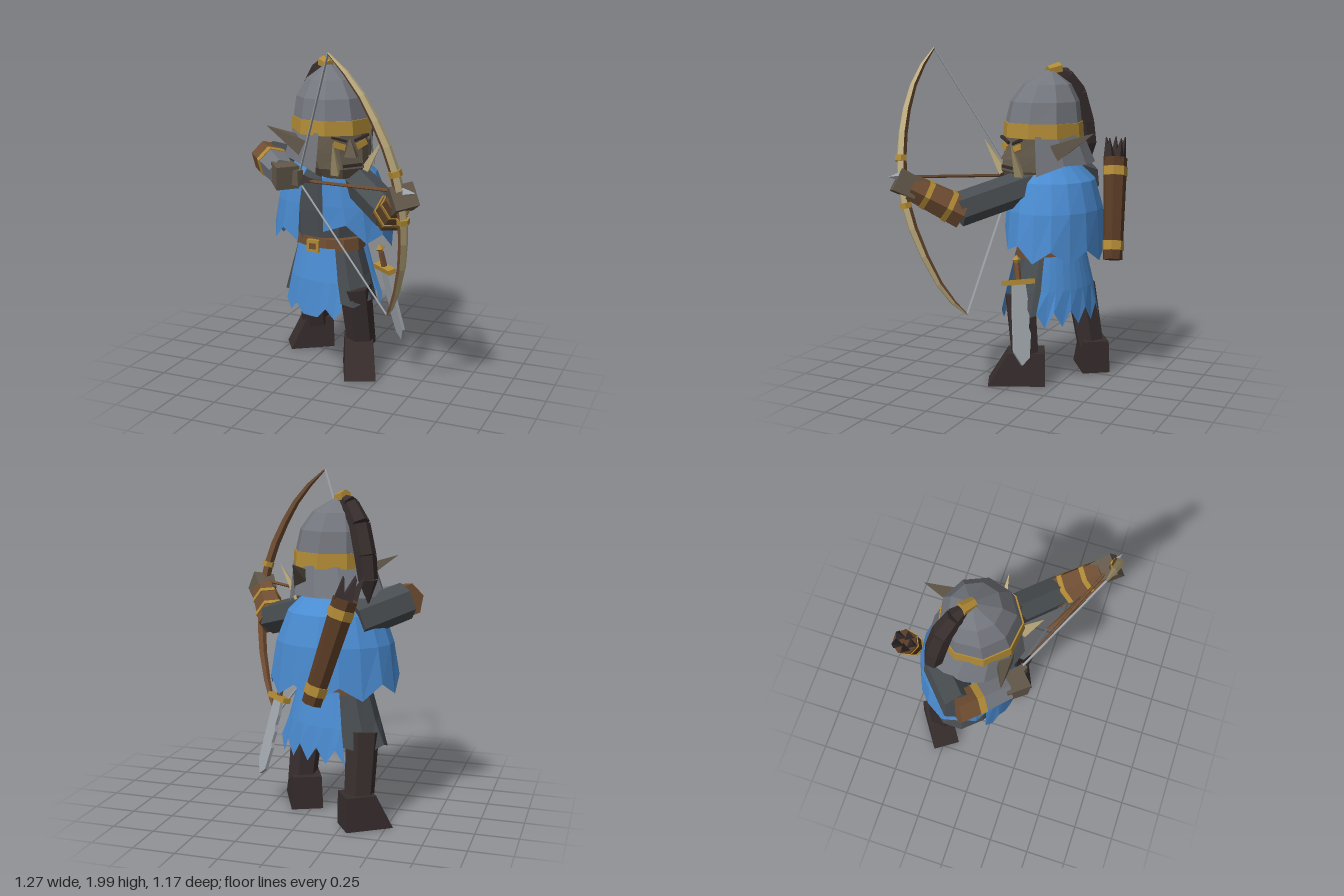
import * as THREE from 'three';

const mat = (name, color, side = THREE.FrontSide) => {
  const m = new THREE.MeshStandardMaterial({ color, side });
  m.name = name;
  return m;
};
const V = (x, y, z) => new THREE.Vector3(x, y, z);

export function createModel() {
  const skin = mat('olive skin', 0x62584a), cloth = mat('blue cloth', 0x4a8bd0, THREE.DoubleSide);
  const tunic = mat('dark grey tunic', 0x484d51, THREE.DoubleSide);
  const iron = mat('helmet iron', 0x74777e, THREE.DoubleSide);
  const gold = mat('gold', 0xb08a36), dark = mat('dark leather', 0x372d2d);
  const leather = mat('brown leather', 0x704e33), bone = mat('pale horn', 0xbcab7e);
  const steel = mat('bright steel', 0xa0a7ac), brown = mat('dark brown leather', 0x573a24);

  const model = new THREE.Group();
  model.name = 'archer';

  // Faceted mesh
  const add = (name, geo, material, parent = model) => {
    const g = geo.index ? geo.toNonIndexed() : geo;
    g.computeVertexNormals();
    const m = new THREE.Mesh(g, material);
    m.name = name;
    parent.add(m);
    return m;
  };
  // Skin over rows of points, bottom row first
  const skinRows = (rows, closed = false) => {
    const pos = [], n = rows[0].length;
    const tri = (...p) => p.forEach(v => pos.push(v.x, v.y, v.z));
    for (let i = 0; i < rows.length - 1; i++)
      for (let j = 0; j < (closed ? n : n - 1); j++) {
        const k = (j + 1) % n, a = rows[i], b = rows[i + 1];
        tri(a[j], a[k], b[k]);
        tri(a[j], b[k], b[j]);
      }
    if (closed) {
      const lo = rows[0], hi = rows[rows.length - 1];
      for (let j = 1; j < n - 1; j++) {
        tri(lo[0], lo[j + 1], lo[j]);
        tri(hi[0], hi[j], hi[j + 1]);
      }
    }
    const g = new THREE.BufferGeometry();
    g.setAttribute('position', new THREE.Float32BufferAttribute(pos, 3));
    return g;
  };
  const onRing = ([y, cx, cz, rx, rz], a) => V(cx + rx * Math.sin(a), y, cz + rz * Math.cos(a));
  // Solid stack of oval rings [y, cx, cz, rx, rz]
  const loft = (rings, n, turn = 0) => skinRows(
    rings.map(r => Array.from({ length: n }, (_, j) => onRing(r, turn + j / n * Math.PI * 2))), true);
  // Curved cloth panel between two angles, with a ragged hem
  const drape = (rings, a0, a1, cols, hem) => skinRows(rings.map((r, i) =>
    Array.from({ length: cols + 1 }, (_, j) => {
      const p = onRing(r, a0 + (a1 - a0) * j / cols);
      if (i === 0) p.y += hem(j);
      return p;
    })));
  // Tapered rod between two points
  const rod = (name, p, q, r0, r1, n, material, parent = model) => {
    const d = q.clone().sub(p);
    const m = add(name, new THREE.CylinderGeometry(r1, r0, d.length(), n), material, parent);
    m.position.copy(p).lerp(q, 0.5);
    m.quaternion.setFromUnitVectors(V(0, 1, 0), d.normalize());
    return m;
  };
  const part = (name, p, q, t0, t1, r0, r1, n, material) =>
    rod(name, p.clone().lerp(q, t0), p.clone().lerp(q, t1), r0, r1, n, material);

  // Boots
  const legs = [
    ['left', V(0.06, 0.54, -0.01), V(0.085, 0.16, -0.055), 0.09, 0.0, 0.42, 0.19, 0.34],
    ['right', V(-0.34, 0.54, -0.24), V(-0.34, 0.16, -0.31), -0.375, -0.305, -0.98, 0.17, 0.28]];
  for (const [side, hip, ankle, x, z, turn, width, len] of legs) {
    rod(side + 'Leg', ankle, hip, 0.088, 0.098, 6, dark);
    const g = new THREE.BoxGeometry(width, 0.2, len), p = g.attributes.position;
    for (let i = 0; i < p.count; i++) {
      if (p.getY(i) < 0) continue;
      p.setX(i, p.getX(i) * 0.9);
      if (p.getZ(i) > 0) p.setZ(i, len * 0.14);
    }
    const foot = add(side + 'Foot', g, dark);
    foot.position.set(x, 0.1, z);
    foot.rotation.y = turn;
  }

  // Torso
  add('torso', loft([[0.74, -0.16, -0.12, 0.2, 0.16], [1.0, -0.16, -0.12, 0.22, 0.18],
    [1.2, -0.15, -0.11, 0.25, 0.17], [1.32, -0.14, -0.1, 0.13, 0.12]], 10), tunic);

  // Hips, turned a little to the right: skirt, belt and hanging cloths
  const hips = new THREE.Group();
  hips.name = 'hips';
  hips.position.set(-0.15, 0, -0.12);
  hips.rotation.y = -0.35;
  model.add(hips);
  const skirt = [[0.44, 0, 0, 0.335, 0.215], [0.6, 0, 0, 0.275, 0.2], [0.8, 0, 0, 0.21, 0.165]];
  add('skirt', drape(skirt, 0, Math.PI * 2, 12, j => (j % 2 ? 0.03 : -0.01)), tunic, hips);
  add('belt', loft([[0.76, 0, 0, 0.235, 0.19], [0.835, 0, 0, 0.23, 0.185]], 12), leather, hips);
  const buckle = new THREE.Group();
  buckle.name = 'buckle';
  buckle.position.set(0.04, 0.79, 0.19);
  buckle.rotation.y = 0.3;
  hips.add(buckle);
  add('buckleFrame', new THREE.BoxGeometry(0.08, 0.075, 0.03), gold, buckle);
  add('bucklePlate', new THREE.BoxGeometry(0.04, 0.035, 0.008), leather, buckle).position.z = 0.016;
  const grow = (d, drop) => skirt.map(([y, cx, cz, rx, rz], i) => [y - (i ? 0.02 : drop), cx, cz, rx + d, rz + d]);
  add('frontCloth', drape(grow(0.025, 0.05), -0.5, 0.78, 8, j => (j % 2 ? -0.03 : 0.03) + (j === 4 ? -0.06 : 0)), cloth, hips);
  add('backCloth', drape(grow(0.035, 0.04), Math.PI - 0.9, Math.PI + 0.6, 9, j => (j % 2 ? -0.03 : 0.06)), cloth, hips);

  // Shoulder cape, open at the chest
  add('cape', drape([[0.85, -0.145, -0.155, 0.38, 0.29], [1.05, -0.145, -0.15, 0.345, 0.28],
    [1.22, -0.145, -0.135, 0.28, 0.25], [1.36, -0.14, -0.1, 0.14, 0.14]], 0.15, Math.PI * 2 - 0.3, 16,
  j => (j % 2 ? 0.05 : -0.03) - 0.07 * Math.sin(j / 16 * Math.PI) + Math.max(0, 0.08 - j * 0.025)), cloth);

  // Left arm, holding the bow
  const shoulderL = V(0.03, 1.2, -0.06), elbowL = V(0.37, 1.08, 0.24), handL = V(0.53, 1.235, 0.485);
  rod('leftUpperArm', shoulderL, elbowL, 0.1, 0.1, 6, tunic);
  part('leftBracer', elbowL, handL, -0.1, 0.9, 0.1, 0.08, 6, leather);
  part('leftElbowBand', elbowL, handL, 0.12, 0.21, 0.102, 0.1, 6, gold);
  part('leftWristBand', elbowL, handL, 0.55, 0.64, 0.092, 0.09, 6, gold);
  part('leftHand', elbowL, handL, 0.78, 1.18, 0.085, 0.095, 4, skin);

  // Right arm, drawing the string
  const shoulderR = V(-0.3, 1.19, -0.27), elbowR = V(-0.54, 1.28, -0.06), handR = V(-0.31, 1.235, 0.18);
  rod('rightUpperArm', shoulderR, elbowR, 0.11, 0.108, 6, tunic);
  part('rightBracer', elbowR, handR, -0.1, 0.26, 0.1, 0.098, 6, leather);
  part('rightElbowBand', elbowR, handR, 0.24, 0.36, 0.101, 0.1, 6, gold);
  part('rightForearm', elbowR, handR, 0.35, 0.85, 0.094, 0.082, 6, iron);
  part('rightHand', elbowR, handR, 0.76, 1.18, 0.085, 0.098, 4, skin);
  for (let i = 0; i < 3; i++) {
    const f = add('rightFinger', new THREE.BoxGeometry(0.08, 0.03, 0.04), skin);
    f.position.set(-0.235, 1.2 + i * 0.03, 0.19);
    f.rotation.y = -0.4;
  }

  // Bow: horn on the flat outer face, leather on the rest
  const bow = new THREE.CatmullRomCurve3([V(0.345, 0.46, 0.2), V(0.42, 0.58, 0.29), V(0.5, 0.82, 0.39), V(0.535, 1.06, 0.47),
    V(0.53, 1.25, 0.51), V(0.485, 1.45, 0.535), V(0.4, 1.65, 0.55), V(0.28, 1.84, 0.545), V(0.12, 1.99, 0.52)]);
  const aim = V(0.91, 0.06, 0.4).normalize();
  const outer = [], inner = [], steps = 12;
  for (let i = 0; i <= steps; i++) {
    const c = bow.getPoint(i / steps), t = bow.getTangent(i / steps);
    const v = t.clone().cross(aim).normalize(), o = v.clone().cross(t).normalize();
    const s = 0.006 + 0.026 * Math.sin(i / steps * Math.PI) ** 0.6;
    const at = (a, b) => c.clone().addScaledVector(o, a * s).addScaledVector(v, b * s);
    outer.push([at(0.2, -1), at(0.7, 0), at(0.2, 1)]);
    inner.push([at(0.2, 1), at(-0.8, 0.6), at(-0.8, -0.6), at(0.2, -1)]);
  }
  add('bowOuter', skinRows(outer), bone);
  add('bowInner', skinRows(inner), leather);
  for (const t of [0.41, 0.58])
    rod('bowBand', bow.getPoint(t - 0.01), bow.getPoint(t + 0.01), 0.037, 0.037, 6, gold);
  const nock = V(-0.23, 1.21, 0.17), tip = V(0.625, 1.285, 0.54);
  for (const t of [0, 1]) rod('bowString', nock, bow.getPoint(t), 0.007, 0.007, 4, steel);

  // Nocked arrow
  part('arrowShaft', nock, tip, 0, 0.93, 0.01, 0.01, 5, leather);
  part('arrowHead', nock, tip, 0.91, 1, 0.028, 0, 4, steel);
  part('arrowFletching', nock, tip, 0.04, 0.13, 0.035, 0.015, 3, dark);

  // Quiver with spare arrows
  const qLow = V(-0.125, 0.76, -0.525), qTop = V(-0.3, 1.34, -0.47);
  rod('quiver', qLow, qTop, 0.058, 0.073, 7, brown);
  part('quiverLowerBand', qLow, qTop, 0.09, 0.18, 0.065, 0.067, 7, gold);
  part('quiverUpperBand', qLow, qTop, 0.82, 0.91, 0.075, 0.077, 7, gold);
  for (let i = 0; i < 5; i++) {
    const a = i * 1.257, d = V(Math.sin(a) * 0.04, 0, Math.cos(a) * 0.04);
    const p = qTop.clone().add(d), e = p.clone().add(V(-0.035, 0.12, 0.01)).add(d.multiplyScalar(0.5));
    rod('spareArrowFeather', p, e, 0.035, 0.004, 3, dark);
  }

  // Sword hanging at the left hip
  const sword = new THREE.Group();
  sword.name = 'sword';
  model.add(sword);
  const blade = new THREE.Shape([[-0.04, 0], [0.04, 0], [0.055, -0.2], [0.065, -0.4], [0.02, -0.48], [-0.03, -0.44],
    [-0.05, -0.3], [-0.04, -0.27], [-0.05, -0.2], [-0.038, -0.16], [-0.047, -0.1]].map(p => new THREE.Vector2(...p)));
  add('blade', new THREE.ExtrudeGeometry(blade, { depth: 0.02, bevelEnabled: false }), steel, sword).position.z = -0.01;
  add('guard', new THREE.BoxGeometry(0.19, 0.03, 0.05), gold, sword);
  rod('grip', V(0, 0, 0), V(0, 0.11, 0), 0.02, 0.018, 6, leather, sword);
  add('pommel', new THREE.OctahedronGeometry(0.03), gold, sword).position.y = 0.13;
  sword.position.set(0.225, 0.655, -0.075);
  sword.rotation.set(0.24, -0.72, 0.02, 'YXZ');

  // Head, turned along the aim
  const head = new THREE.Group();
  head.name = 'head';
  head.position.set(-0.12, 0, -0.08);
  head.rotation.y = 0.92;
  model.add(head);
  add('skull', loft([[1.22, 0, 0.07, 0.14, 0.16], [1.28, 0, 0.07, 0.18, 0.19],
    [1.37, 0, 0.04, 0.2, 0.2], [1.49, 0, 0.0, 0.2, 0.22]], 8, Math.PI / 8), skin, head);
  rod('neck', V(0, 1.12, 0), V(0, 1.25, 0), 0.1, 0.1, 6, skin, head);
  add('nose', loft([[1.35, 0, 0.23, 0.05, 0.055], [1.375, 0, 0.22, 0.04, 0.05], [1.45, 0, 0.19, 0.018, 0.025]], 4), skin, head);
  add('mouth', new THREE.BoxGeometry(0.13, 0.018, 0.009), dark, head).position.set(0, 1.3, 0.243);
  for (const s of [-1, 1]) {
    const eye = add('eye', new THREE.BoxGeometry(0.075, 0.036, 0.009), gold, head);
    eye.position.set(s * 0.075, 1.417, 0.219);
    eye.rotation.set(-0.15, s * 0.1, s * 0.35);
    const brow = add('brow', new THREE.BoxGeometry(0.1, 0.014, 0.02), dark, head);
    brow.position.set(s * 0.075, 1.455, 0.215);
    brow.rotation.z = s * 0.3;
    rod('tusk', V(s * 0.1, 1.26, 0.215), V(s * 0.17, 1.46, 0.31), 0.034, 0, 4, bone, head);
    rod('ear', V(s * 0.16, 1.37, 0.06), V(s * 0.375, 1.515, -0.125), 0.085, 0, 4, skin, head);
  }

  // Helmet, gold brow band and neck guard
  add('helmetDome', loft([[1.54, 0, 0, 0.232, 0.235], [1.68, 0, -0.01, 0.205, 0.21], [1.78, 0, -0.025, 0.14, 0.145],
    [1.86, 0, -0.045, 0.02, 0.02]], 9), iron, head);
  add('helmetBand', loft([[1.475, 0, 0, 0.242, 0.247], [1.56, 0, 0, 0.236, 0.24]], 9), gold, head);
  add('neckGuard', drape([[1.28, 0, -0.03, 0.27, 0.29], [1.49, 0, 0, 0.235, 0.235]],
    0.85, Math.PI * 2 - 0.85, 8, j => (j % 8 ? 0.04 : -0.02)), iron, head);

  // Plume
  rod('plumeClip', V(0, 1.855, -0.03), V(0, 1.87, -0.11), 0.03, 0.038, 6, gold, head);
  const plume = [[1.855, -0.08, 0.025], [1.825, -0.15, 0.05], [1.72, -0.235, 0.06], [1.55, -0.29, 0.062], [1.42, -0.315, 0.055], [1.29, -0.32, 0.004]];
  for (let i = 0; i < plume.length - 1; i++) {
    const [y0, z0, r0] = plume[i], [y1, z1, r1] = plume[i + 1];
    rod('plume', V(0, y0, z0), V(0, y1, z1), r0, r1, 6, dark, head);
  }
  return model;
}
